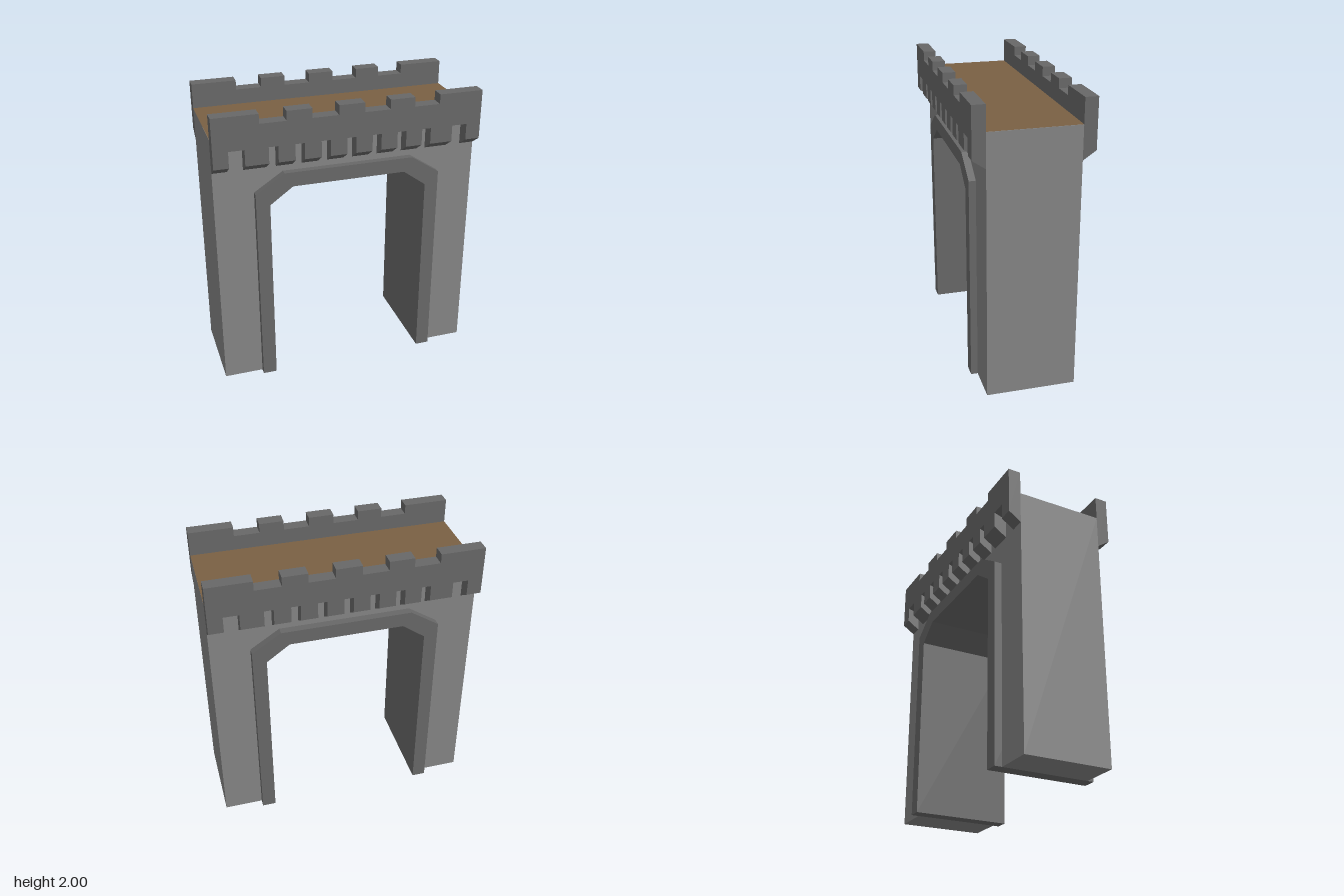
import * as THREE from 'three';

const HALF = 0.912;   // half width of the gate
const WALL = 0.305;   // half depth of the wall
const DECK = 1.83;    // walkway height

const material = (color) => new THREE.MeshStandardMaterial({ color, flatShading: true });

// Mirrors a half outline (x >= 0) into a full left-to-right run of points
const mirrored = (half) => [
  ...half.map(([x, y]) => [-x, y]),
  ...half.slice().reverse(),
];

const toShape = (points) => new THREE.Shape(points.map(([x, y]) => new THREE.Vector2(x, y)));

function extrude(points, z0, z1) {
  const geometry = new THREE.ExtrudeGeometry(toShape(points), { depth: z1 - z0, bevelEnabled: false });
  return geometry.translate(0, 0, z0);
}

// Parapet with merlons above and machicolation slots below
function parapetGeometry() {
  const top = 2, notch = 1.935, bottom = 1.6, slotTop = 1.742;
  const points = [[-HALF, bottom], [-HALF, top]];

  // Crenels along the top, left to right
  for (const x of [-0.52, -0.175, 0.175, 0.52]) {
    const a = x - 0.088, b = x + 0.088;
    points.push([a, top], [a, notch], [b, notch], [b, top]);
  }
  points.push([HALF, top], [HALF, bottom]);

  // Slots along the bottom, right to left: wide at the ends, narrow between
  const slots = [[0.76, 0.052]];
  for (let i = 3; i >= -3; i--) slots.push([i * 0.174, 0.031]);
  slots.push([-0.76, 0.052]);
  for (const [x, w] of slots) {
    points.push([x + w, bottom], [x + w, slotTop], [x - w, slotTop], [x - w, bottom]);
  }

  const geometry = extrude(points, WALL, 0.393);
  // Raise the outer lower edges so that the undersides slope
  const p = geometry.attributes.position;
  for (let i = 0; i < p.count; i++) {
    if (p.getZ(i) < WALL + 0.01) continue;
    const y = p.getY(i);
    if (Math.abs(y - bottom) < 1e-4) p.setY(i, 1.66);
    else if (Math.abs(y - slotTop) < 1e-4) p.setY(i, 1.772);
  }
  geometry.computeVertexNormals();
  return geometry;
}

export function createModel() {
  const group = new THREE.Group();
  const stone = material(0x858585);
  const darkStone = material(0x686868);
  const earth = material(0x7a6043);

  const add = (name, geometry, mat) => {
    const mesh = new THREE.Mesh(geometry, mat);
    mesh.name = name;
    group.add(mesh);
    return mesh;
  };

  // Chamfered arch outlines
  const outer = mirrored([[0.643, 0], [0.643, 1.43], [0.445, 1.56]]);
  const inner = mirrored([[0.548, 0], [0.548, 1.345], [0.39, 1.46]]);

  // Wall with the gateway cut out
  add('wall', extrude([[HALF, 0], [HALF, DECK], [-HALF, DECK], [-HALF, 0], ...outer], -WALL, WALL), stone);

  // Arch lining that runs through the wall and stands proud on both faces
  add('archLining', extrude([...outer, ...inner.slice().reverse()], -0.358, 0.352), darkStone);

  // Walkway surface
  const deck = new THREE.PlaneGeometry(HALF * 2, WALL * 2).rotateX(-Math.PI / 2);
  add('walkway', deck, earth).position.y = DECK + 0.002;

  // Parapets, front and back
  const parapet = parapetGeometry();
  add('frontParapet', parapet, darkStone);
  add('backParapet', parapet, darkStone).rotation.y = Math.PI;

  return group;
}
